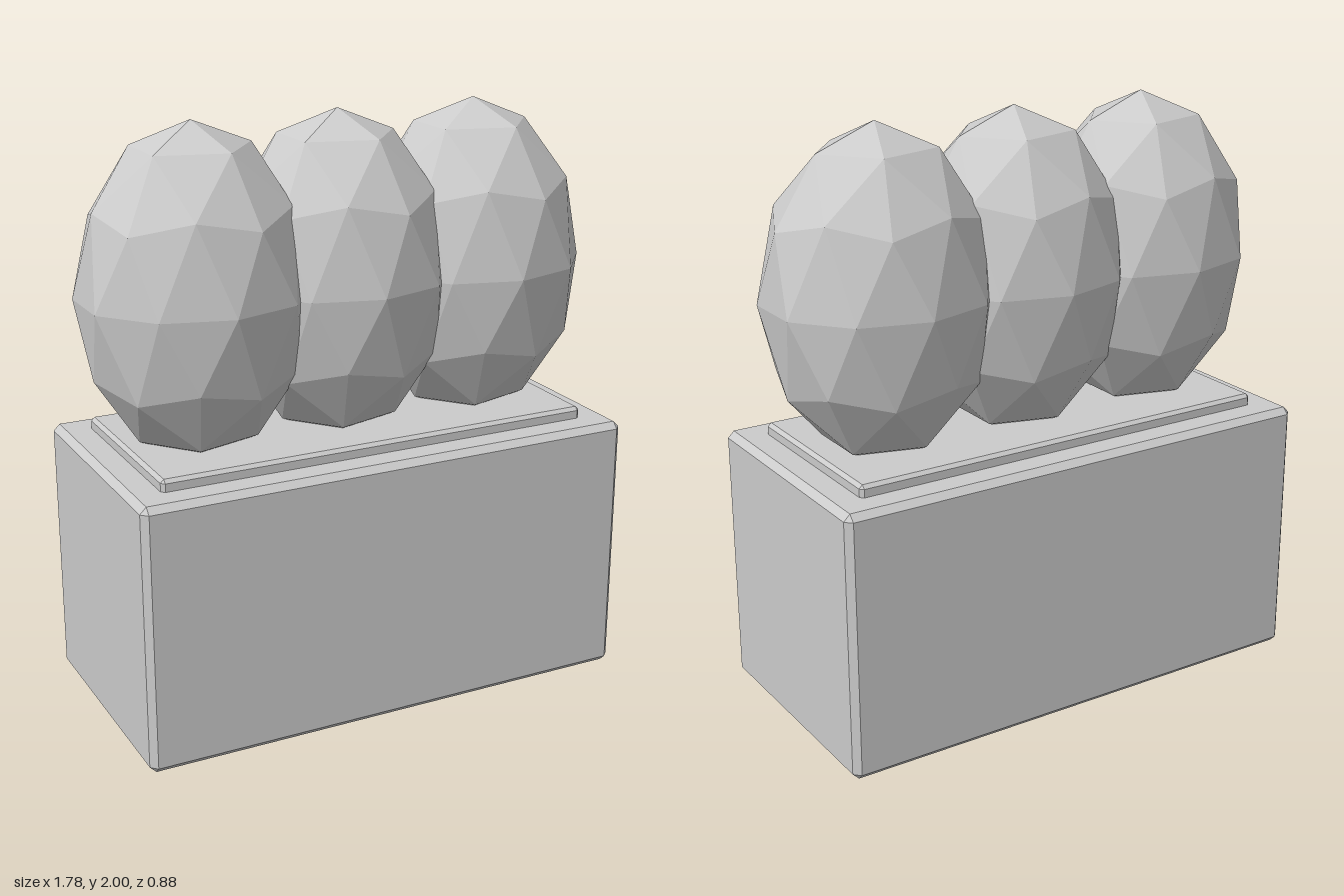
import * as THREE from 'three';
import { ConvexGeometry } from 'three/addons/geometries/ConvexGeometry.js';

const material = new THREE.MeshStandardMaterial({ color: 0xcccccc, flatShading: true });

// Box with every edge cut by a flat chamfer: three points per corner
function chamferedBox(name, width, depth, bottom, top, bevel) {
  const half = [width / 2, (top - bottom) / 2, depth / 2];
  const points = [];
  for (const sx of [-1, 1]) for (const sy of [-1, 1]) for (const sz of [-1, 1]) {
    for (let full = 0; full < 3; full++) {
      const p = half.map((h, axis) => (axis === full ? h : h - bevel));
      points.push(new THREE.Vector3(sx * p[0], sy * p[1], sz * p[2]));
    }
  }
  const mesh = new THREE.Mesh(new ConvexGeometry(points), material);
  mesh.name = name;
  mesh.position.y = (bottom + top) / 2;
  return mesh;
}

// Faceted egg-shaped bush, turned so that a five-sided vertex is at the top
function bushGeometry(rx, ry, rz) {
  const geometry = new THREE.IcosahedronGeometry(1, 1);
  geometry.rotateZ(-Math.atan(2 / (1 + Math.sqrt(5))));
  geometry.scale(rx, ry, rz);
  geometry.computeVertexNormals();
  return geometry;
}

export function createModel() {
  const model = new THREE.Group();
  model.name = 'planter';

  // Planter box and the soil slab on top of it
  model.add(chamferedBox('planterBox', 1.76, 0.88, 0, 0.915, 0.022));
  model.add(chamferedBox('soil', 1.55, 0.67, 0.86, 0.955, 0.012));

  // Row of three overlapping bushes
  const bush = bushGeometry(0.395, 0.56, 0.35);
  ['bushRight', 'bushMiddle', 'bushLeft'].forEach((name, i) => {
    const mesh = new THREE.Mesh(bush, material);
    mesh.name = name;
    mesh.position.set((i - 1) * 0.513, 1.44, 0);
    model.add(mesh);
  });

  return model;
}
